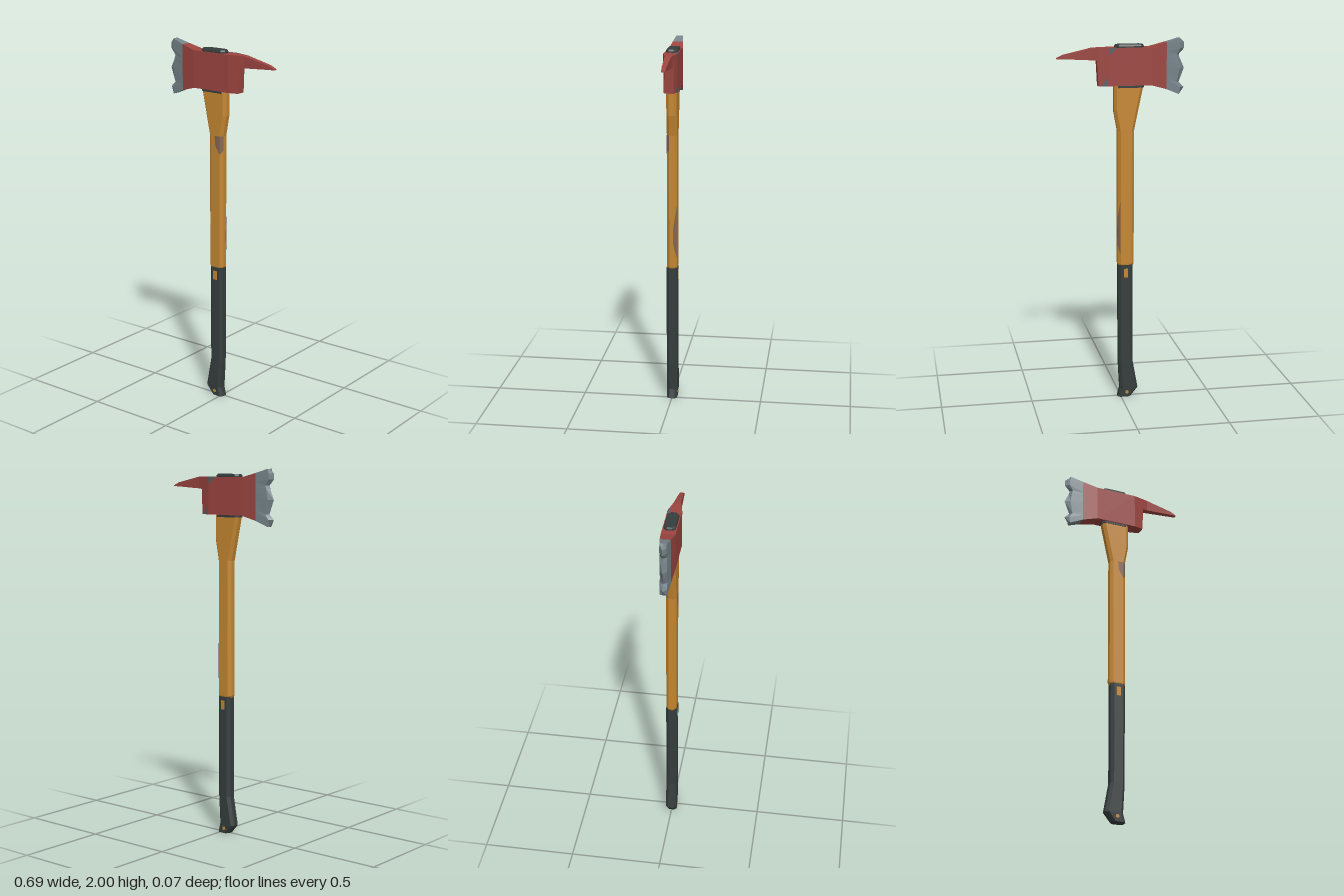
import * as THREE from 'three';

const mat = (name, color, extra = {}) => {
  const m = new THREE.MeshStandardMaterial({ color, flatShading: true, ...extra });
  m.name = name;
  return m;
};

// Flat-shaded skin through equal-sized rings of [x, y, z] points, capped at both ends
function loft(rings) {
  const tris = [];
  const n = rings[0].length;
  for (let r = 0; r < rings.length - 1; r++) {
    const a = rings[r], b = rings[r + 1];
    for (let i = 0; i < n; i++) {
      const j = (i + 1) % n;
      tris.push([a[i], a[j], b[j]], [a[i], b[j], b[i]]);
    }
  }
  const first = rings[0], last = rings[rings.length - 1];
  for (let i = 1; i < n - 1; i++) {
    tris.push([first[0], first[i + 1], first[i]], [last[0], last[i], last[i + 1]]);
  }
  // Turn every face outward using the sign of the enclosed volume
  const c = new THREE.Vector3(...first[0]);
  let volume = 0;
  for (const t of tris) {
    const [p, q, s] = t.map(v => new THREE.Vector3(...v).sub(c));
    volume += p.dot(q.cross(s));
  }
  if (volume < 0) tris.forEach(t => t.reverse());
  return flat(tris);
}

function flat(tris) {
  const g = new THREE.BufferGeometry();
  g.setAttribute('position', new THREE.Float32BufferAttribute(tris.flat(2), 3));
  g.computeVertexNormals();
  return g;
}

// Thin painted patch: a fan over a few points
const patch = pts => flat(pts.slice(2).map((p, i) => [pts[0], pts[i + 1], p]));

// Chamfered rectangle at height y
const octagon = (y, x0, x1, d, c) => [
  [x0 + c, y, d], [x1 - c, y, d], [x1, y, d - c], [x1, y, c - d],
  [x1 - c, y, -d], [x0 + c, y, -d], [x0, y, c - d], [x0, y, d - c],
];

// Upright section across the head at x
const slab = (x, y0, y1, dLow, dHigh) => [[x, y0, dLow], [x, y1, dHigh], [x, y1, -dHigh], [x, y0, -dLow]];

export function createModel() {
  const wood = mat('wood', 0xc58731);
  const grip = mat('black rubber', 0x363d3d);
  const red = mat('red paint', 0x9c4540);
  const steel = mat('bare steel', 0x76848a);
  const worn = mat('worn wood', 0x856753, { side: THREE.DoubleSide });
  const chip = mat('chipped paint', 0x566064, { side: THREE.DoubleSide });

  const model = new THREE.Group();
  model.name = 'axe';
  const add = (name, geometry, material) => {
    const m = new THREE.Mesh(geometry, material);
    m.name = name;
    model.add(m);
    return m;
  };

  // Wooden shaft, flaring under the head
  add('shaft', loft([
    octagon(0.76, -0.065, 0.012, 0.026, 0.014),
    octagon(0.775, -0.072, 0.018, 0.028, 0.015),
    octagon(1.51, -0.072, 0.018, 0.028, 0.015),
    octagon(1.62, -0.095, 0.038, 0.028, 0.015),
    octagon(1.76, -0.124, 0.038, 0.028, 0.015),
  ]), wood);

  // Rubber grip with a hooked foot
  add('grip', loft([
    octagon(0, -0.055, 0.018, 0.028, 0.014),
    octagon(0.05, -0.095, 0.005, 0.03, 0.015),
    octagon(0.21, -0.066, 0.014, 0.03, 0.015),
    octagon(0.768, -0.066, 0.016, 0.03, 0.015),
  ]), grip);

  // Wood showing through the grip on both sides
  for (const s of [1, -1]) {
    const slot = add('gripSlot', new THREE.BoxGeometry(0.024, 0.05, 0.004), wood);
    slot.position.set(-0.026, 0.722, s * 0.0296);
    const hole = add('gripHole', new THREE.CylinderGeometry(0.011, 0.011, 0.004, 6), wood);
    hole.rotation.x = Math.PI / 2;
    hole.position.set(-0.032, 0.028, s * 0.0296);
  }

  // Worn patches wrapping onto the chamfers of the shaft
  add('frontWear', patch([[0.003, 1.51, 0.0287], [-0.03, 1.508, 0.0287], [-0.024, 1.455, 0.0287], [0.003, 1.41, 0.0287]]), worn);
  add('frontWearEdge', patch([[0.0035, 1.41, 0.0287], [0.0185, 1.43, 0.0137], [0.0185, 1.51, 0.0137], [0.0035, 1.51, 0.0287]]), worn);
  add('backWear', patch([[0.0035, 0.82, -0.0287], [0.0185, 0.88, -0.0137], [0.0185, 1.03, -0.0137], [0.0035, 1.13, -0.0287]]), worn);
  add('backWearEdge', patch([[0.0187, 0.88, -0.0135], [0.0187, 0.92, -0.007], [0.0187, 0.99, -0.008], [0.0187, 1.03, -0.0135]]), worn);

  // Collar running through the head
  add('collar', loft([
    octagon(1.742, -0.124, 0.031, 0.031, 0.016),
    octagon(1.962, -0.124, 0.031, 0.031, 0.016),
    octagon(1.971, -0.119, 0.026, 0.027, 0.016),
  ]), grip);

  // Head body, tapering to the blade and to the rear
  add('headBody', loft([
    slab(-0.245, 1.73, 1.978, 0.028, 0.028),
    slab(-0.16, 1.754, 1.955, 0.037, 0.037),
    slab(0.07, 1.754, 1.955, 0.037, 0.037),
    slab(0.122, 1.754, 1.955, 0.026, 0.025),
  ]), red);
  add('headRear', loft([
    slab(0.1215, 1.754, 1.9, 0.026, 0.025),
    [[0.122, 1.76, 0.026], [0.13, 1.9, 0.022], [0.13, 1.9, -0.022], [0.122, 1.76, -0.026]],
  ]), red);

  // Spike
  add('spike', loft([
    slab(0.118, 1.888, 1.955, 0.025, 0.026),
    slab(0.155, 1.891, 1.954, 0.017, 0.018),
    slab(0.305, 1.899, 1.921, 0.012, 0.012),
    slab(0.342, 1.9, 1.904, 0.011, 0.011),
  ]), red);

  // Blade with a nicked edge: [edge height, edge x, bevel x]
  const edge = [
    [1.70, -0.32, -0.316], [1.737, -0.345, -0.322], [1.765, -0.317, -0.303],
    [1.84, -0.345, -0.318], [1.897, -0.32, -0.308], [1.913, -0.316, -0.302],
    [1.945, -0.345, -0.322], [1.977, -0.345, -0.322], [2.0, -0.32, -0.316],
  ];
  add('blade', loft(edge.map(([y, ex, bx]) => {
    const back = 1.73 + (y - 1.7) / 0.3 * 0.248;
    return [[-0.245, back, 0.028], [bx, y, 0.018], [ex, y, 0], [bx, y, -0.018], [-0.245, back, -0.028]];
  })), steel);

  // Chips on the rear edges of the head
  add('topChip', patch([[0.022, 1.9558, -0.037], [0.07, 1.9558, -0.02], [0.09, 1.9558, -0.0335], [0.07, 1.9558, -0.0375]]), chip);
  add('topChipSide', patch([[0.022, 1.9555, -0.0377], [0.07, 1.9555, -0.0377], [0.066, 1.915, -0.0377]]), chip);
  add('lowerChip', patch([[0.071, 1.755, -0.0377], [0.107, 1.755, -0.0303], [0.076, 1.80, -0.0367]]), chip);

  return model;
}
